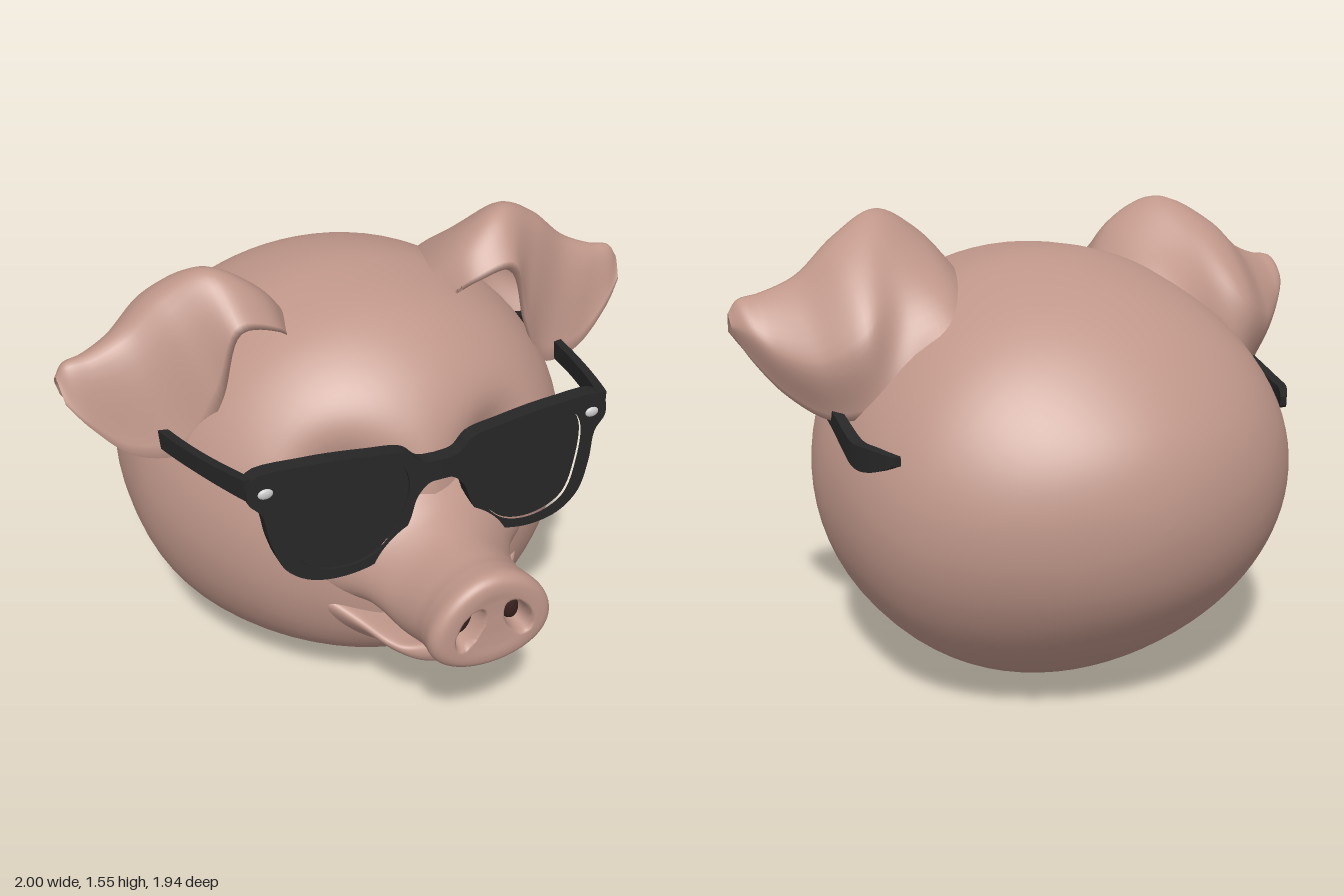
import * as THREE from 'three';
import { toCreasedNormals } from 'three/addons/utils/BufferGeometryUtils.js';

const skin = new THREE.MeshStandardMaterial({ color: 0xc0978a, side: THREE.DoubleSide });
const dark = new THREE.MeshStandardMaterial({ color: 0x3a2320 });
const black = new THREE.MeshStandardMaterial({ color: 0x262626 });
const metal = new THREE.MeshStandardMaterial({ color: 0xcccccc });

function part(name, geometry, material) {
  const mesh = new THREE.Mesh(geometry, material);
  mesh.name = name;
  return mesh;
}

// Closed rings joined in rows; at(u, v) gives the point on row u, ring position v
function skinRings(rows, n, at) {
  const pos = [], index = [];
  for (let i = 0; i <= rows; i++)
    for (let j = 0; j < n; j++) {
      pos.push(...at(i / rows, j / n));
      if (i === rows) continue;
      const a = i * n + j, b = i * n + (j + 1) % n;
      index.push(a, b, a + n, b, b + n, a + n);
    }
  const g = new THREE.BufferGeometry();
  g.setAttribute('position', new THREE.Float32BufferAttribute(pos, 3));
  g.setIndex(index);
  g.computeVertexNormals();
  return g;
}

// Smooth interpolation of section tables; a zero-width end is rounded to a pole
function sectionAt(table, u) {
  const last = table.length - 1;
  const mirror = ([z, lo, hi, w]) => [z, hi, lo, -w];
  const get = k => k < 0 ? (table[0][3] ? table[0] : mirror(table[1]))
    : k > last ? (table[last][3] ? table[last] : mirror(table[last - 1])) : table[k];
  const k = Math.min(Math.floor(u * last), last - 1), t = u * last - k;
  const [a, b, c, d] = [get(k - 1), get(k), get(k + 1), get(k + 2)];
  return b.map((v, i) => v + 0.5 * t * (c[i] - a[i]
    + t * (2 * a[i] - 5 * v + 4 * c[i] - d[i] + t * (3 * (v - c[i]) + d[i] - a[i]))));
}

// Loft along z through sections [z, bottom, top, halfWidth], then shape each point
function loft(table, steps, n, shape) {
  return skinRings((table.length - 1) * steps, n, (u, v) => {
    const [z, lo, hi, w] = sectionAt(table, u);
    const a = v * Math.PI * 2;
    return shape(w * Math.cos(a), (lo + hi) / 2 + (hi - lo) / 2 * Math.sin(a), z, Math.sin(a));
  });
}

function bend(geometry, rule) {
  const p = geometry.attributes.position;
  for (let i = 0; i < p.count; i++) p.setXYZ(i, ...rule(p.getX(i), p.getY(i), p.getZ(i)));
  return toCreasedNormals(geometry, 0.6);
}

// Smooth outline through points, mirrored when s is -1
function outline(points, s, closed) {
  const c = new THREE.CatmullRomCurve3(points.map(([x, y]) => new THREE.Vector3(s * x, y, 0)), closed);
  const out = c.getPoints(80).map(p => new THREE.Vector2(p.x, p.y));
  return closed ? out.slice(0, -1) : out;
}

function makeHead() {
  const table = [[-0.97, 0.74, 0.74, 0], [-0.93, 0.53, 0.94, 0.24], [-0.82, 0.35, 1.1, 0.47],
    [-0.65, 0.18, 1.25, 0.65], [-0.45, 0.05, 1.35, 0.74], [-0.2, 0, 1.405, 0.77],
    [0, 0.015, 1.4, 0.755], [0.2, 0.08, 1.36, 0.68], [0.37, 0.165, 1.26, 0.56],
    [0.49, 0.25, 1.12, 0.4], [0.56, 0.34, 0.95, 0.25], [0.58, 0.5, 0.78, 0.12], [0.585, 0.64, 0.64, 0]];
  // Eye sockets pressed in on both sides of the nose bridge
  return part('head', loft(table, 7, 80, (x, y, z) => {
    const d = ((Math.abs(x) - 0.25) / 0.15) ** 2 + ((y - 0.93) / 0.14) ** 2;
    return [x, y, z > 0.2 ? z - 0.11 * Math.exp(-d) : z];
  }), skin);
}

function makeSnout() {
  const group = new THREE.Group();
  group.name = 'snout';
  const table = [[0.35, 0.42, 1.04, 0.52], [0.45, 0.46, 0.99, 0.44], [0.52, 0.49, 0.93, 0.345],
    [0.58, 0.495, 0.885, 0.275], [0.64, 0.48, 0.855, 0.235], [0.72, 0.462, 0.835, 0.207],
    [0.82, 0.49, 0.832, 0.192], [0.88, 0.505, 0.84, 0.195], [0.93, 0.51, 0.845, 0.2],
    [0.957, 0.53, 0.83, 0.182], [0.965, 0.56, 0.8, 0.145], [0.962, 0.6, 0.76, 0.095],
    [0.96, 0.64, 0.72, 0.048], [0.96, 0.68, 0.68, 0]];
  group.add(part('muzzle', loft(table, 9, 96, (x, y, z, s) => {
    x *= 1 - 0.17 * s;
    // Slanted nostril holes
    const dy = y - 0.68, dx = Math.abs(x) - 0.08 + dy * 0.35;
    const r = Math.hypot(dx / 0.045, dy / 0.07);
    const hole = z > 0.94 ? 1 - THREE.MathUtils.smoothstep(r, 0.6, 1) : 0;
    return [x, y, z - 0.11 * hole];
  }), skin));
  for (const s of [1, -1]) {
    const nostril = part('nostril', new THREE.SphereGeometry(1, 24, 16), dark);
    nostril.scale.set(0.034, 0.058, 0.03);
    nostril.position.set(s * 0.08, 0.68, 0.89);
    nostril.rotation.z = s * 0.34;
    group.add(nostril);
  }
  return group;
}

function makeLowerLip() {
  const table = [[0.35, 0.17, 0.48, 0.46], [0.45, 0.235, 0.48, 0.39], [0.53, 0.295, 0.472, 0.325],
    [0.6, 0.335, 0.455, 0.265], [0.68, 0.35, 0.445, 0.21], [0.73, 0.365, 0.448, 0.145], [0.75, 0.41, 0.41, 0]];
  return part('lowerLip', loft(table, 8, 56, (x, y, z) => [x, y + 1.3 * x * x, z]), skin);
}

// Folded ear: four rails run from the head out to the tip
function makeEar() {
  const rail = pts => new THREE.CatmullRomCurve3(pts.map(p => new THREE.Vector3(...p)));
  const front = rail([[0.26, 1.28, 0.09], [0.34, 1.37, 0.16], [0.47, 1.4, 0.18], [0.54, 1.18, 0.17],
    [0.64, 1, 0.13], [0.8, 1, 0.09], [0.93, 1.12, 0.06], [0.99, 1.2, 0.03]]);
  const ridge = rail([[0.24, 1.32, 0], [0.36, 1.47, 0.04], [0.51, 1.55, 0.01], [0.66, 1.48, -0.02],
    [0.79, 1.37, -0.03], [0.9, 1.325, -0.02], [0.97, 1.31, -0.02], [1, 1.27, -0.02]]);
  const shoulder = rail([[0.25, 1.28, -0.2], [0.38, 1.37, -0.22], [0.54, 1.37, -0.25], [0.67, 1.25, -0.345],
    [0.8, 1.16, -0.28], [0.9, 1.18, -0.19], [0.965, 1.23, -0.12], [1, 1.24, -0.06]]);
  const back = rail([[0.28, 1.18, -0.35], [0.42, 1.18, -0.48], [0.55, 1.08, -0.42], [0.66, 0.99, -0.34],
    [0.76, 0.96, -0.24], [0.87, 1.03, -0.15], [0.95, 1.13, -0.09], [0.99, 1.2, -0.05]]);
  return skinRings(56, 56, (u, v) => {
    const [b, s, r, f] = [back, shoulder, ridge, front].map(c => c.getPoint(u));
    const arc = new THREE.CatmullRomCurve3([b, s, r, f]);
    const j = Math.round(v * 56);
    if (j < 28) return arc.getPoint(j / 27).toArray();
    const mid = f.clone().add(b).multiplyScalar(0.5);
    return arc.getPoint((55 - j) / 27).lerp(mid, 0.15).toArray();
  });
}

function makeGlasses() {
  const glasses = new THREE.Group();
  glasses.name = 'sunglasses';
  const rim = [[0, 1.04], [0.06, 1.045], [0.11, 1.085], [0.22, 1.1], [0.42, 1.113], [0.595, 1.1],
    [0.61, 1.03], [0.57, 0.98], [0.55, 0.88], [0.51, 0.78], [0.43, 0.725], [0.3, 0.715], [0.18, 0.755],
    [0.11, 0.85], [0.08, 0.93], [0.04, 0.97], [0, 0.975]];
  const opening = [[0.105, 0.99], [0.14, 1.06], [0.3, 1.08], [0.48, 1.07], [0.512, 1.02], [0.5, 0.9],
    [0.45, 0.785], [0.34, 0.745], [0.22, 0.77], [0.14, 0.86]];
  // Both halves lean forward at the bottom and sweep back from the bridge
  const sweepZ = (x, y) => 0.565 - 0.065 * Math.abs(x) + 0.1 * (1.1 - y);
  const sweep = (x, y, z) => [x, y, z + sweepZ(x, y)];
  // Temple sections: z, bottom, top, half thickness
  const arm = [[-0.57, 0.905, 0.935, 0.012], [-0.5, 0.873, 0.945, 0.016], [-0.42, 0.872, 0.948, 0.018],
    [-0.3, 0.918, 0.982, 0.016], [-0.2, 0.948, 1.008, 0.015], [0, 0.972, 1.035, 0.015],
    [0.3, 1.01, 1.07, 0.015], [0.545, 1.035, 1.103, 0.016]];

  for (const s of [1, -1]) {
    const shape = new THREE.Shape(outline(rim, s, false));
    shape.holes.push(new THREE.Path(outline(opening, s, true)));
    const frame = new THREE.ExtrudeGeometry(shape, { depth: 0.05, bevelEnabled: false });
    frame.translate(0, 0, -0.025);
    glasses.add(part('frame', bend(frame, sweep), black));

    const lens = new THREE.ExtrudeGeometry(new THREE.Shape(outline(opening, s, true)),
      { depth: 0.025, bevelEnabled: false });
    lens.translate(0, 0, -0.01);
    glasses.add(part('lens', bend(lens, sweep), black));

    // Temple arm bowed around the head
    glasses.add(part('temple', bend(new THREE.BoxGeometry(2, 1, 1, 1, 1, 42), (x, y, t) => {
      const [z, lo, hi, w] = sectionAt(arm, t + 0.5);
      const tail = Math.min(0, z + 0.4);
      const bow = 0.745 - 0.205 * (z + 0.3) ** 2 - 2 * tail * tail;
      return [s * bow + x * w, (lo + hi) / 2 + y * (hi - lo), z];
    }), black));

    const rivet = part('rivet', new THREE.SphereGeometry(1, 20, 12), metal);
    rivet.scale.set(0.024, 0.017, 0.009);
    rivet.position.set(s * 0.555, 1.05, sweepZ(0.555, 1.05) + 0.026);
    glasses.add(rivet);
  }
  return glasses;
}

export function createModel() {
  const model = new THREE.Group();
  model.name = 'pigHead';
  model.add(makeHead(), makeSnout(), makeLowerLip(), makeGlasses());
  const earShape = makeEar();
  for (const s of [1, -1]) {
    const ear = part(s > 0 ? 'leftEar' : 'rightEar', earShape, skin);
    ear.scale.x = s;
    if (s < 0) ear.position.y = -0.03;
    model.add(ear);
  }
  return model;
}
